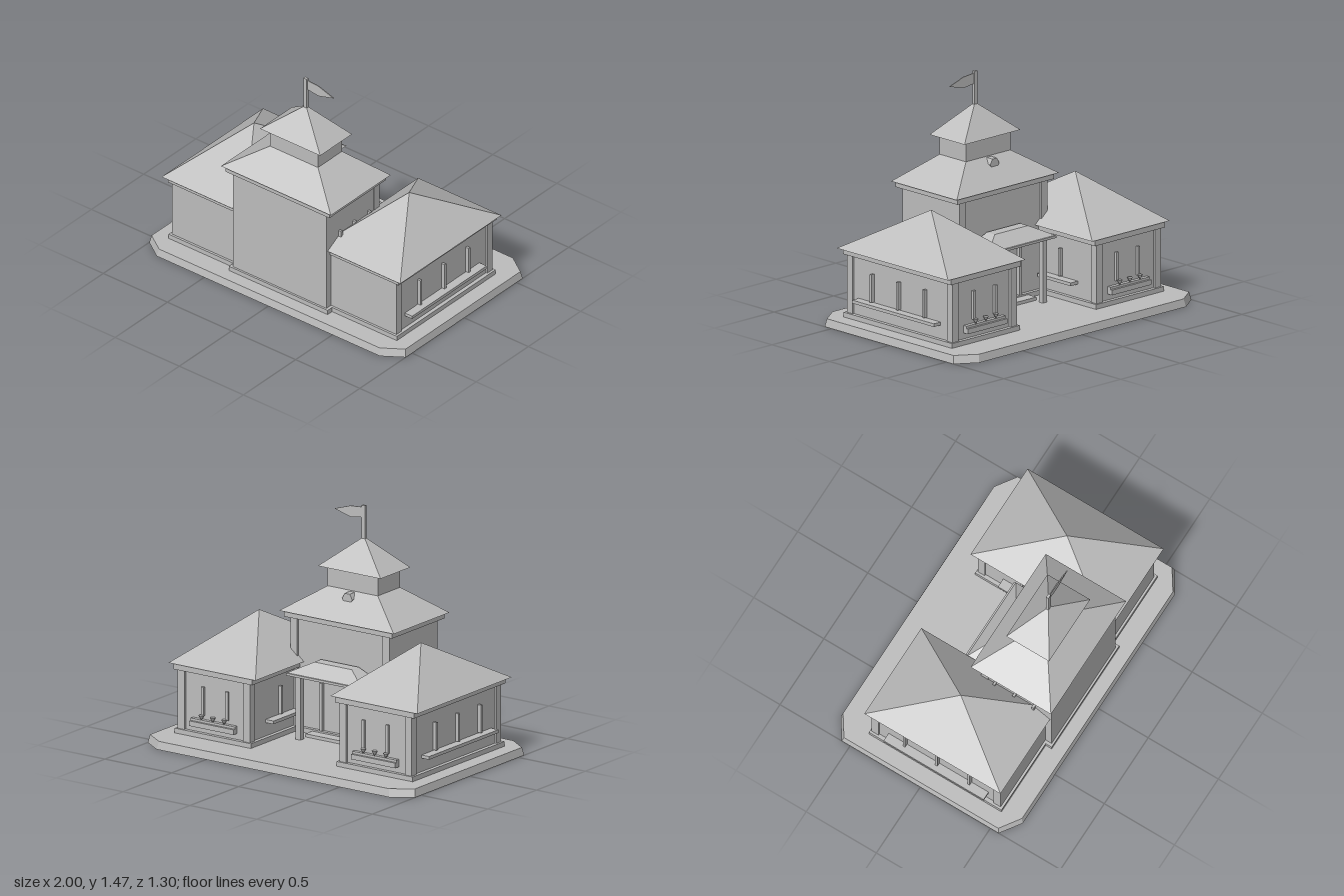
import * as THREE from 'three';

const plaster = new THREE.MeshStandardMaterial({ color: 0xbdbdbd, side: THREE.DoubleSide });
plaster.name = 'plain grey';

function add(parent, name, geometry) {
  const mesh = new THREE.Mesh(geometry, plaster);
  mesh.name = name;
  parent.add(mesh);
  return mesh;
}

// Box given by its limits on each axis
function block(parent, name, x0, x1, y0, y1, z0, z1) {
  const g = new THREE.BoxGeometry(Math.abs(x1 - x0), y1 - y0, z1 - z0);
  g.translate((x0 + x1) / 2, (y0 + y1) / 2, (z0 + z1) / 2);
  return add(parent, name, g);
}

// Hipped roof: lower and upper rectangles [x0, x1, z0, z1] joined by four slopes
function roof(parent, name, lower, y0, upper, y1) {
  const ring = ([x0, x1, z0, z1], y) => [[x0, y, z1], [x1, y, z1], [x1, y, z0], [x0, y, z0]];
  const a = ring(lower, y0), b = ring(upper, y1), p = [];
  const quad = (q, r, s, t) => p.push(...q, ...r, ...s, ...q, ...s, ...t);
  for (let i = 0; i < 4; i++) {
    const j = (i + 1) % 4;
    p.push(...a[i], ...a[j], ...b[j]);
    if (b[i].some((v, k) => v !== b[j][k])) p.push(...a[i], ...b[j], ...b[i]);
  }
  quad(a[3], a[2], a[1], a[0]);
  if (upper[0] !== upper[1] && upper[2] !== upper[3]) quad(...b);
  const g = new THREE.BufferGeometry();
  g.setAttribute('position', new THREE.Float32BufferAttribute(p, 3));
  g.computeVertexNormals();
  return add(parent, name, g);
}

// Rectangular skirting frame, continuing a little below the floor
function skirting(parent, x0, x1, z0, z1) {
  const t = 0.03;
  block(parent, 'skirting', x0, x1, 0.035, 0.08, z0, z0 + t);
  block(parent, 'skirting', x0, x1, 0.035, 0.08, z1 - t, z1);
  block(parent, 'skirting', x0, x0 + t, 0.035, 0.08, z0 + t, z1 - t);
  block(parent, 'skirting', x1 - t, x1, 0.035, 0.08, z0 + t, z1 - t);
}

// Chamfered plinth, open underneath, with sloping sides
function plinth(parent) {
  const outline = (s) => [[1, 0.56], [0.87, 0.648], [-0.87, 0.648], [-1, 0.56],
    [-1, -0.56], [-0.87, -0.648], [0.87, -0.648], [1, -0.56]].map(([x, z]) => [x - Math.sign(x) * s, z - Math.sign(z) * s]);
  const low = outline(0), top = outline(0.01), p = [];
  for (let i = 0; i < 8; i++) {
    const j = (i + 1) % 8;
    const [a, b] = [low[i], low[j]], [c, d] = [top[j], top[i]];
    const A = [a[0], 0, a[1]], B = [b[0], 0, b[1]], C = [c[0], 0.05, c[1]], D = [d[0], 0.05, d[1]];
    p.push(...A, ...C, ...B, ...A, ...D, ...C);
    p.push(0, 0.05, 0, ...C, ...D);
  }
  const g = new THREE.BufferGeometry();
  g.setAttribute('position', new THREE.Float32BufferAttribute(p, 3));
  g.computeVertexNormals();
  add(parent, 'plinth', g);
}

function wing(side) {
  const w = new THREE.Group();
  w.name = side > 0 ? 'leftWing' : 'rightWing';
  // Limits along x are mirrored for the other side
  const box = (name, x0, x1, ...rest) => block(w, name, Math.min(side * x0, side * x1), Math.max(side * x0, side * x1), ...rest);
  box('wingWalls', 0.345, 0.865, 0.05, 0.46, -0.41, 0.495);
  skirting(w, side > 0 ? 0.32 : -0.89, side > 0 ? 0.89 : -0.32, -0.435, 0.51);
  box('eaveBand', 0.31, 0.9, 0.45, 0.487, -0.435, 0.505);
  const lower = side > 0 ? [0.28, 0.93] : [-0.93, -0.28];
  roof(w, 'wingRoof', [...lower, -0.443, 0.528], 0.487, [side * 0.605, side * 0.605, 0.042, 0.042], 0.765);

  // Corner posts
  for (const x of [0.335, 0.825])
    for (const z of [-0.425, 0.445]) box('cornerPost', x, x + 0.05, 0.05, 0.45, z, z + 0.05);

  // Outer wall bars and sill
  for (const z of [0.275, 0.045, -0.185]) box('windowBar', 0.865, 0.89, 0.19, 0.365, z - 0.008, z + 0.008);
  box('sill', 0.865, 0.922, 0.165, 0.185, -0.31, 0.403);

  // Courtyard wall bar and sill
  box('windowBar', 0.325, 0.345, 0.19, 0.365, -0.115, -0.1);
  box('sill', 0.285, 0.345, 0.165, 0.185, -0.25, 0.04);

  // Back wall bars, planter and plants
  for (const x of [0.51, 0.69]) box('windowBar', x - 0.01, x + 0.01, 0.19, 0.37, -0.425, -0.41);
  box('planter', 0.44, 0.77, 0.118, 0.15, -0.45, -0.41);
  box('planterSill', 0.44, 0.77, 0.15, 0.165, -0.435, -0.41);
  for (const x of [0.52, 0.605, 0.69]) {
    const plant = add(w, 'plant', new THREE.ConeGeometry(0.018, 0.035, 6));
    plant.rotation.x = Math.PI;
    plant.position.set(side * x, 0.178, -0.435);
  }
  return w;
}

function tower() {
  const t = new THREE.Group();
  t.name = 'tower';
  block(t, 'towerWalls', -0.365, 0.365, 0.05, 0.77, 0.055, 0.54);
  skirting(t, -0.385, 0.385, 0.03, 0.553);
  block(t, 'towerEaveBand', -0.405, 0.405, 0.76, 0.797, 0.02, 0.56);
  roof(t, 'towerRoof', [-0.43, 0.428, 0.002, 0.575], 0.797, [-0.187, 0.187, 0.172, 0.402], 0.955);
  block(t, 'lantern', -0.187, 0.187, 0.94, 1.085, 0.172, 0.402);
  roof(t, 'lanternRoof', [-0.235, 0.235, 0.135, 0.44], 1.08, [0, 0, 0.288, 0.288], 1.27);

  for (const s of [-1, 1]) {
    // Rear corner posts and side window bars
    block(t, 'cornerPost', s * 0.345 - 0.025, s * 0.345 + 0.025, 0.05, 0.76, 0.04, 0.09);
    for (const z of [0.14, 0.28, 0.418])
      block(t, 'towerBar', s * 0.376 - 0.011, s * 0.376 + 0.011, 0.38, 0.585, z - 0.008, z + 0.008);
    // Door frame in the rear wall
    block(t, 'doorJamb', s * 0.14 - 0.01, s * 0.14 + 0.01, 0.05, 0.38, 0.035, 0.055);
  }

  // Small round dormer on the rear slope
  const dormer = add(t, 'dormer', new THREE.CylinderGeometry(0.038, 0.038, 0.06, 6).toNonIndexed());
  dormer.geometry.computeVertexNormals();
  dormer.rotation.set(Math.PI / 2, Math.PI / 6, 0);
  dormer.position.set(0, 0.917, 0.145);
  return t;
}

function porch() {
  const p = new THREE.Group();
  p.name = 'rearPorch';
  roof(p, 'porchRoof', [-0.28, 0.28, -0.12, 0.055], 0.46, [-0.14, 0.14, -0.03, 0.04], 0.53);
  block(p, 'porchEave', -0.28, 0.28, 0.445, 0.46, -0.13, 0.055);
  for (const x of [-0.2, 0.2]) block(p, 'porchPost', x - 0.018, x + 0.018, 0.05, 0.45, -0.115, -0.08);
  block(p, 'porchStep', -0.2, 0.2, 0.02, 0.07, -0.04, 0.04);
  return p;
}

function flag() {
  const f = new THREE.Group();
  f.name = 'flag';
  block(f, 'flagPole', -0.013, 0.013, 1.25, 1.467, 0.279, 0.297);
  const shape = new THREE.Shape([[0.01, 1.455], [0.1, 1.448], [0.217, 1.41], [0.1, 1.378], [0.01, 1.39]]
    .map(([x, y]) => new THREE.Vector2(x, y)));
  const cloth = add(f, 'pennant', new THREE.ExtrudeGeometry(shape, { depth: 0.006, bevelEnabled: false }));
  cloth.position.z = 0.283;
  return f;
}

export function createModel() {
  const model = new THREE.Group();
  model.name = 'hall';
  plinth(model);
  model.add(wing(1), wing(-1), tower(), porch(), flag());
  return model;
}
